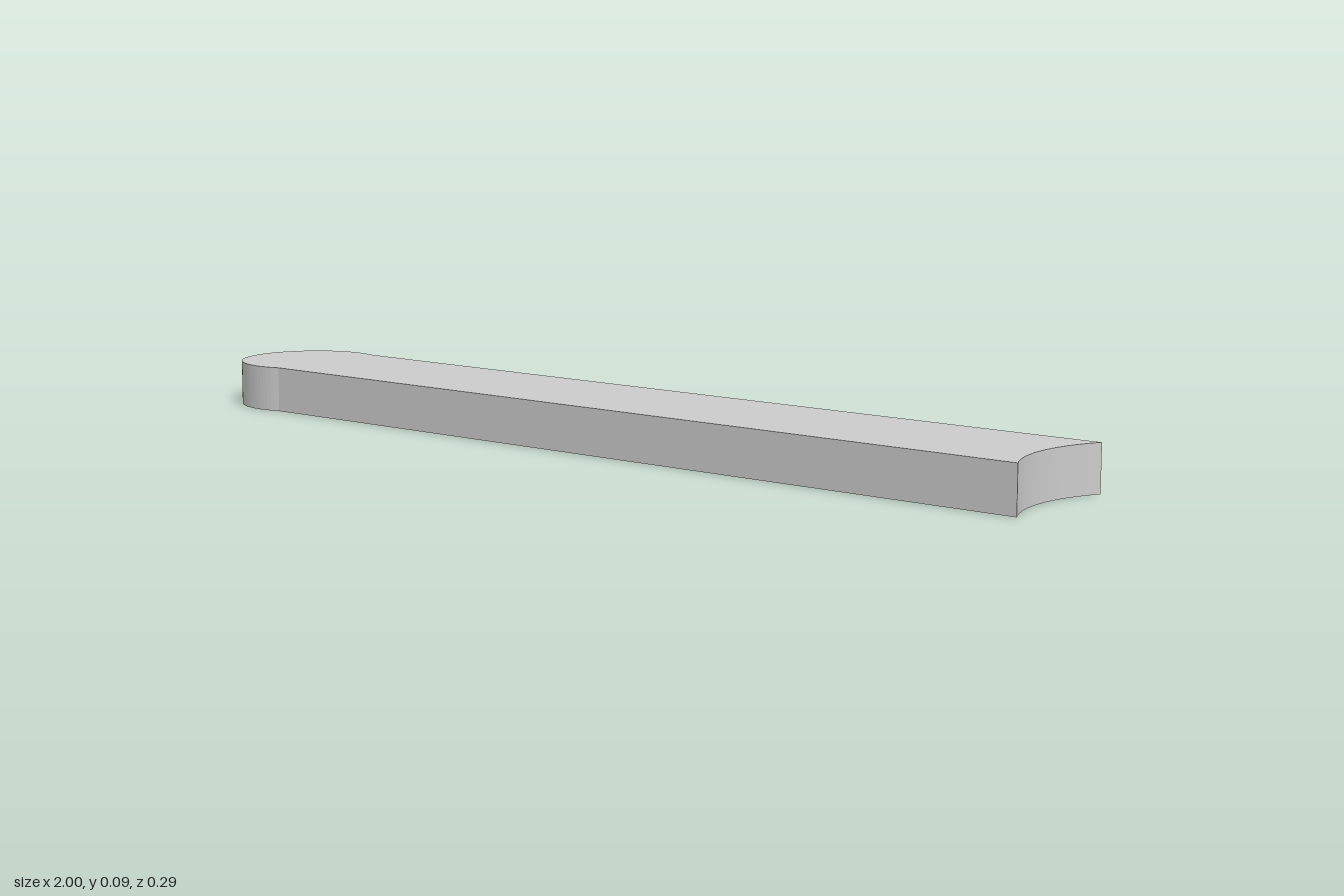
import * as THREE from 'three';

export function createModel() {
  const height = 0.092, half = 0.1375;   // bar thickness and half width
  const endR = 0.146, endX = -0.854;     // rounded end
  const notchR = 0.29;                   // concave end
  const notchA = Math.asin(half / notchR);
  const notchX = 1 + notchR * Math.cos(notchA);
  const endA = Math.asin(half / endR);

  // Plan outline: concave end, straight sides, bulging round end
  const outline = new THREE.Shape();
  outline.moveTo(1, -half);
  outline.absarc(notchX, 0, notchR, Math.PI + notchA, Math.PI - notchA, true);
  outline.absarc(endX, 0, endR, endA, 2 * Math.PI - endA, false);
  outline.closePath();

  const geometry = new THREE.ExtrudeGeometry(outline, {
    depth: height, bevelEnabled: false, curveSegments: 28,
  });
  geometry.rotateX(-Math.PI / 2);

  const link = new THREE.Mesh(geometry, new THREE.MeshStandardMaterial({ color: 0xcccccc, flatShading: true }));
  link.name = 'linkBar';

  const group = new THREE.Group();
  group.name = 'link';
  group.add(link);
  return group;
}
